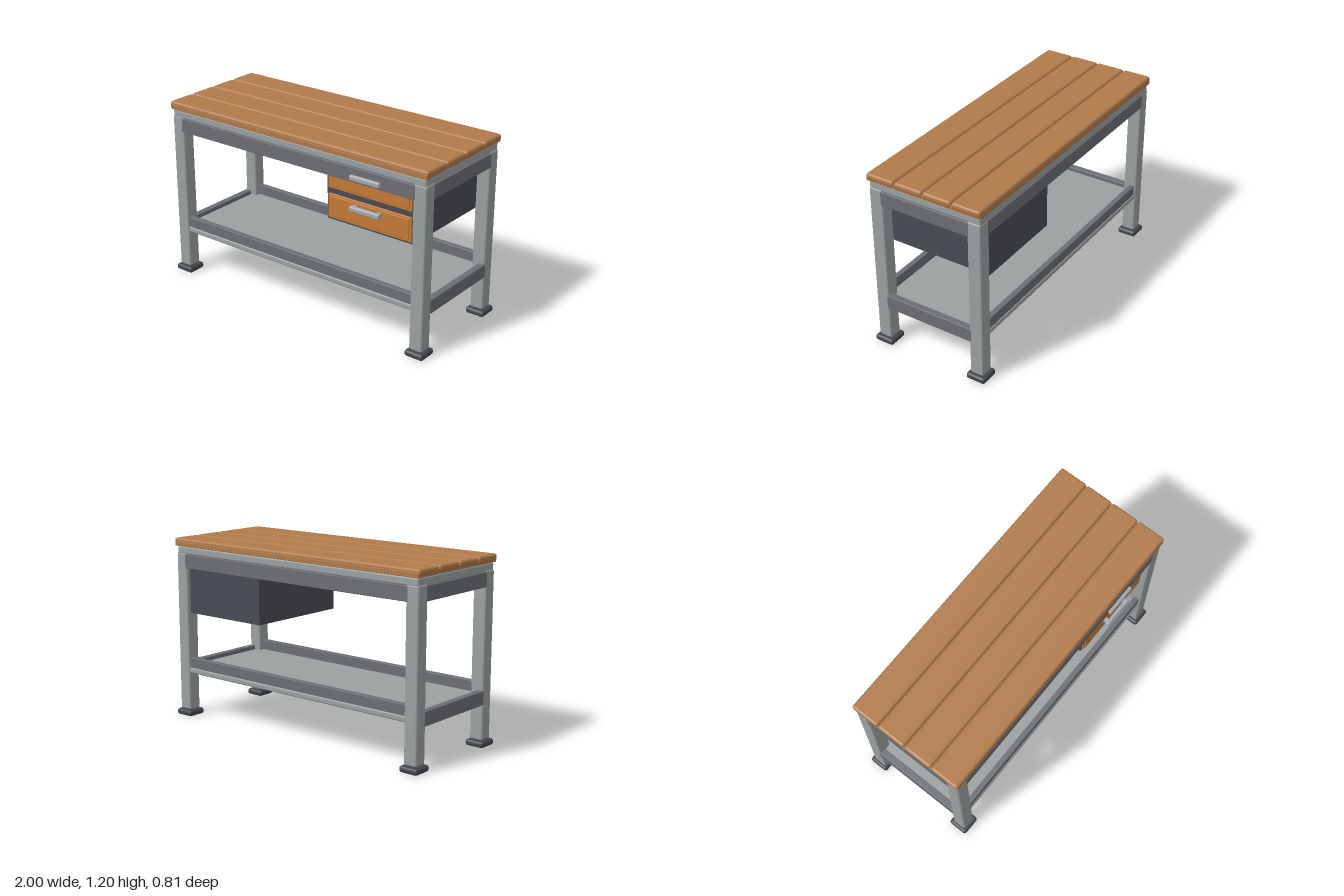
import * as THREE from 'three';
import { RoundedBoxGeometry } from 'three/addons/geometries/RoundedBoxGeometry.js';

const paint = (name, color) => {
  const m = new THREE.MeshStandardMaterial({ color });
  m.name = name;
  return m;
};

export function createModel() {
  const bench = new THREE.Group();
  bench.name = 'workbench';

  const wood = paint('wood', 0xb07a4a);
  const steel = paint('light steel', 0x9aa0a0);
  const darkSteel = paint('dark steel', 0x6c6e74);
  const cabinetGrey = paint('cabinet grey', 0x484b54);
  const rubber = paint('foot rubber', 0x42454c);
  const orange = paint('drawer orange', 0xc47a36);
  const handleGrey = paint('handle grey', 0xa4a9ac);

  // Box given by its min and max on each axis, with an optional soft edge
  function block(name, mat, [x0, x1], [y0, y1], [z0, z1], r = 0, parent = bench) {
    const size = [x1 - x0, y1 - y0, z1 - z0];
    const geo = r ? new RoundedBoxGeometry(...size, 2, r) : new THREE.BoxGeometry(...size);
    const mesh = new THREE.Mesh(geo, mat);
    mesh.position.set((x0 + x1) / 2, (y0 + y1) / 2, (z0 + z1) / 2);
    mesh.name = name;
    parent.add(mesh);
    return mesh;
  }
  const span = (centre, half) => [centre - half, centre + half];

  // Table top: four planks on a thin wooden base
  block('topBase', wood, [-0.985, 0.985], [1.143, 1.174], [-0.393, 0.393], 0.004);
  for (let i = 0; i < 4; i++) {
    block('plank', wood, [-0.993, 0.993], [1.153, 1.195], span((i - 1.5) * 0.197, 0.0965), 0.016);
  }

  // Steel tray under the planks
  block('topFrame', steel, [-0.975, 0.975], [1.09, 1.143], [-0.383, 0.383], 0.012);

  // Legs with stepped rubber feet
  for (const sx of [-1, 1]) {
    for (const sz of [-1, 1]) {
      const x = sx * 0.935, z = sz * 0.339;
      block('leg', steel, span(x, 0.045), [0.042, 1.1], span(z, 0.045), 0.012);
      block('footNeck', rubber, span(x, 0.035), [0.03, 0.05], span(z, 0.035));
      block('foot', rubber, span(x, 0.065), [0, 0.04], span(z, 0.065), 0.016);
    }
  }

  // Aprons and lower rails on all four sides
  for (const s of [-1, 1]) {
    block('longApron', darkSteel, [-0.905, 0.905], [1, 1.092], span(s * 0.363, 0.022), 0.004);
    block('sideApron', darkSteel, span(s * 0.959, 0.022), [1, 1.092], [-0.305, 0.305], 0.004);
    block('longRail', darkSteel, [-0.9, 0.9], [0.31, 0.4], span(s * 0.352, 0.018), 0.004);
    block('sideRail', darkSteel, span(s * 0.959, 0.022), [0.27, 0.36], [-0.305, 0.305], 0.004);
  }

  // Lower shelf
  block('shelf', steel, [-0.945, 0.945], [0.295, 0.333], [-0.376, 0.376], 0.01);

  // Drawer cabinet hung under the top
  block('drawerCabinet', cabinetGrey, [0.255, 0.875], [0.705, 1.09], [-0.37, 0.345]);

  // Drawers: front panel, raised field and bar handle
  for (const [y0, y1, handleY] of [[0.716, 0.873, 0.836], [0.908, 1.065, 1.031]]) {
    const drawer = new THREE.Group();
    drawer.name = 'drawer';
    bench.add(drawer);
    block('drawerFront', orange, [0.266, 0.867], [y0, y1], [0.33, 0.354], 0.005, drawer);
    block('drawerField', orange, [0.283, 0.852], [y0 + 0.016, y1 - 0.012], [0.34, 0.36], 0.004, drawer);
    block('handleBar', handleGrey, [0.453, 0.671], span(handleY, 0.018), [0.378, 0.406], 0.011, drawer);
    for (const x of [0.475, 0.649]) {
      block('handlePost', handleGrey, span(x, 0.014), span(handleY, 0.013), [0.35, 0.392], 0, drawer);
    }
  }

  return bench;
}
